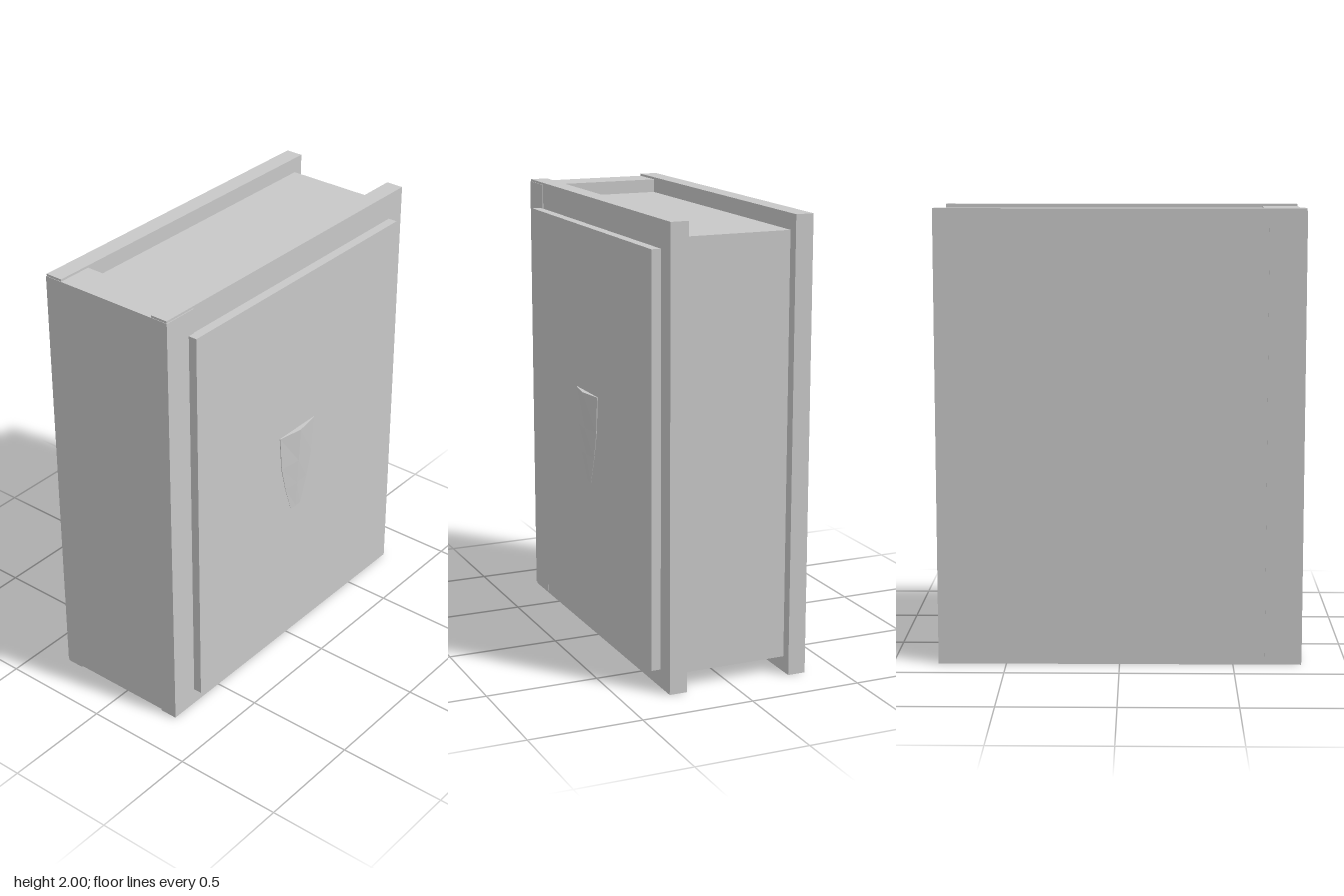
import * as THREE from 'three';

export function createModel() {
  const book = new THREE.Group();
  const grey = new THREE.MeshStandardMaterial({ color: 0xc8c8c8 });
  grey.name = 'light grey';

  const add = (name, geometry) => {
    const mesh = new THREE.Mesh(geometry, grey);
    mesh.name = name;
    book.add(mesh);
  };

  // Box given by its extents along each axis
  const block = (name, [x0, x1], [y0, y1], [z0, z1]) => {
    const g = new THREE.BoxGeometry(x1 - x0, y1 - y0, z1 - z0);
    g.translate((x0 + x1) / 2, (y0 + y1) / 2, (z0 + z1) / 2);
    add(name, g);
  };

  // Covers, spine and page block
  block('backCover', [-0.8, 0.8], [0, 2], [-0.352, -0.272]);
  block('frontCover', [-0.8, 0.8], [0, 2], [0.21, 0.29]);
  block('spine', [-0.802, -0.64], [0.01, 1.99], [-0.355, 0.293]);
  block('pages', [-0.7, 0.752], [0.07, 1.93], [-0.28, 0.22]);

  // Raised panel on the front cover
  block('frontPanel', [-0.672, 0.706], [0.081, 1.88], [0.28, 0.332]);

  // Tapered emblem with a central ridge: rows of [y, half width, edge z, ridge z]
  const rows = [
    [1.145, 0.122, 0.336, 0.355],
    [0.98, 0.107, 0.335, 0.347],
    [0.86, 0.077, 0.334, 0.341],
    [0.735, 0.035, 0.333, 0.335],
  ];
  const base = 0.325;
  const section = ([y, w, edge, ridge]) => [[-w, y, edge], [0, y, ridge], [w, y, edge], [w, y, base], [-w, y, base]];
  const points = [];
  const tri = (a, b, c) => points.push(...a, ...b, ...c);
  for (let i = 0; i < rows.length - 1; i++) {
    const top = section(rows[i]);
    const low = section(rows[i + 1]);
    for (let j = 0; j < 5; j++) {
      const k = (j + 1) % 5;
      tri(top[j], low[j], low[k]);
      tri(top[j], low[k], top[k]);
    }
  }
  const head = section(rows[0]);
  const foot = section(rows[rows.length - 1]);
  for (let j = 1; j < 4; j++) {
    tri(head[0], head[j], head[j + 1]);
    tri(foot[0], foot[j + 1], foot[j]);
  }
  const emblem = new THREE.BufferGeometry();
  emblem.setAttribute('position', new THREE.Float32BufferAttribute(points, 3));
  emblem.computeVertexNormals();
  add('emblem', emblem);

  return book;
}
